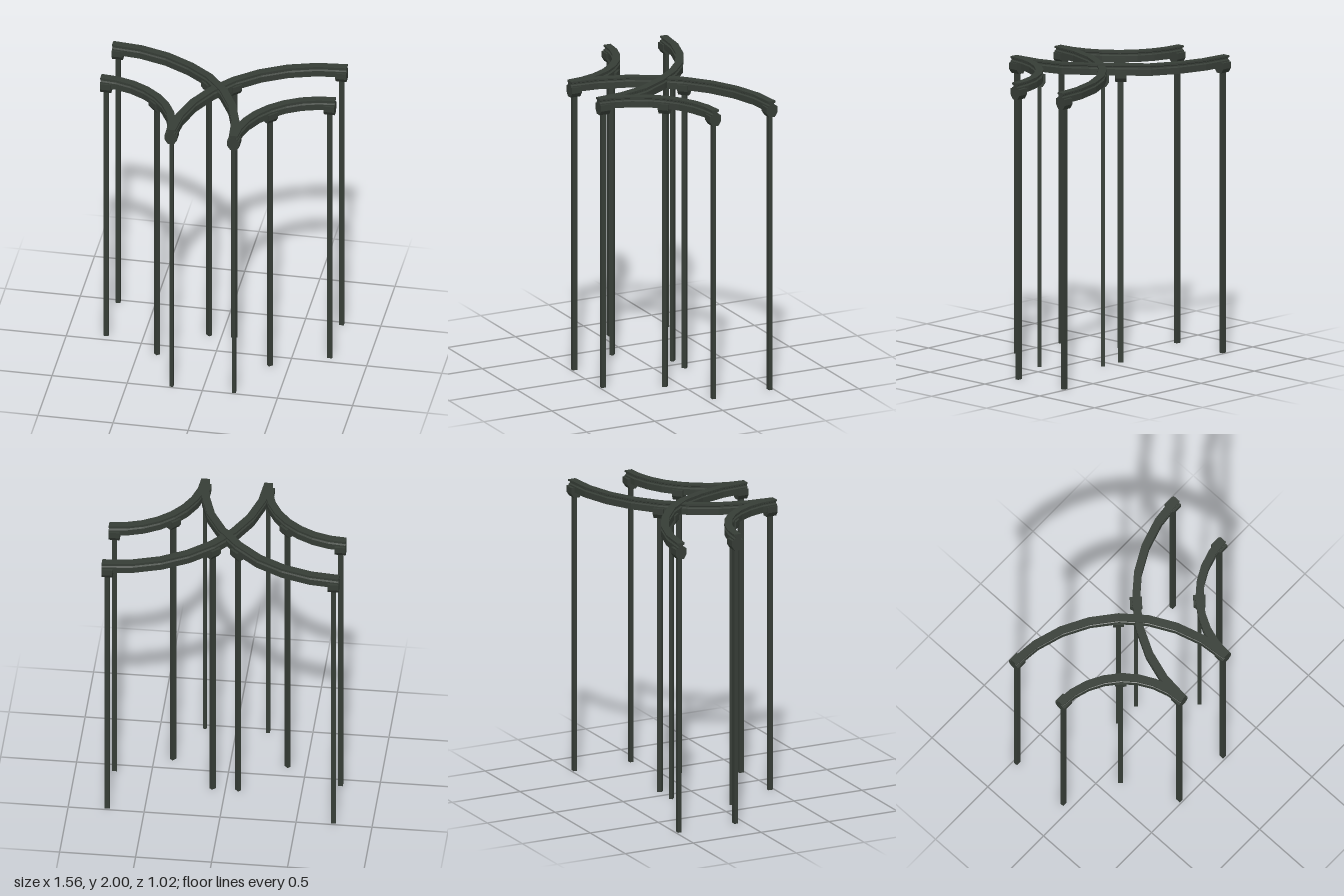
import * as THREE from 'three';

const END_X = 0.78, END_Z = 0.51;      // corner shared by the curve centres
const BIG = 0.985, SMALL = 0.57;       // curve radii
const STEPS = 8;

function polygon(points) {
  return new THREE.Shape(points.map(([x, y]) => new THREE.Vector2(x, y)));
}

// Symmetric outline from its right half, listed bottom to top
function symmetric(half) {
  return polygon([...half, ...half.map(([x, y]) => [-x, y]).reverse()]);
}

const railProfile = symmetric([
  [0.025, 1.92], [0.025, 1.962], [0.014, 1.968], [0.014, 1.976], [0.026, 1.982], [0.026, 1.993],
]);
const bracketProfile = symmetric([[0.02, 1.882], [0.04, 1.912], [0.04, 1.953]]);

// Straight beam bent into a quarter circle; side -1 is the right half, +1 the left
function curvedRail(radius, side, rise) {
  const geo = new THREE.ExtrudeGeometry(railProfile, { depth: 1, steps: STEPS, bevelEnabled: false });
  const p = geo.attributes.position;
  for (let i = 0; i < p.count; i++) {
    const t = side < 0 ? p.getZ(i) : 1 - p.getZ(i);
    const a = t * Math.PI / 2;
    const r = radius + p.getX(i);
    const step = Math.round(t * STEPS);
    const lift = step === 4 || step === 5 ? rise : 0;
    p.setXYZ(i, side * (END_X - r * Math.sin(a)), p.getY(i) + lift, END_Z - r * Math.cos(a));
  }
  geo.computeVertexNormals();
  return geo;
}

export function createModel() {
  const model = new THREE.Group();
  const darkMetal = new THREE.MeshStandardMaterial({ color: 0x363d36 });
  darkMetal.name = 'darkGreenMetal';

  function add(parent, geometry, name) {
    const mesh = new THREE.Mesh(geometry, darkMetal);
    mesh.name = name;
    parent.add(mesh);
  }

  // Bracket runs along local z
  const bracketGeo = new THREE.ExtrudeGeometry(bracketProfile, { depth: 0.072, bevelEnabled: false });
  bracketGeo.translate(0, 0, -0.036);
  const postGeo = new THREE.BoxGeometry(0.025, 1.89, 0.033);
  postGeo.translate(0, 0.945, 0);

  function support(x, z, turn, name) {
    const group = new THREE.Group();
    group.name = name;
    group.position.set(x, 0, z);
    group.rotation.y = turn;
    add(group, bracketGeo, 'bracket');
    add(group, postGeo, 'post');
    model.add(group);
  }

  const inset = 0.036;
  for (const side of [-1, 1]) {
    const label = side < 0 ? 'right' : 'left';
    // The right long rail rises slightly to pass over the other
    add(model, curvedRail(BIG, side, side < 0 ? 0.007 : 0), label + 'LongRail');
    add(model, curvedRail(SMALL, side, 0), label + 'ShortRail');

    // Supports at the outer end and middle of each curve
    for (const [radius, size] of [[BIG, 'Long'], [SMALL, 'Short']]) {
      const d = radius * Math.SQRT1_2;
      support(side * (END_X - inset), END_Z - radius, Math.PI / 2, label + size + 'EndSupport');
      support(side * (END_X - d), END_Z - d, -side * Math.PI / 4, label + size + 'MiddleSupport');
    }
    // Shared support where a long and a short rail join
    support(side * 0.208, END_Z - inset, 0, label + 'FrontSupport');
  }
  return model;
}
